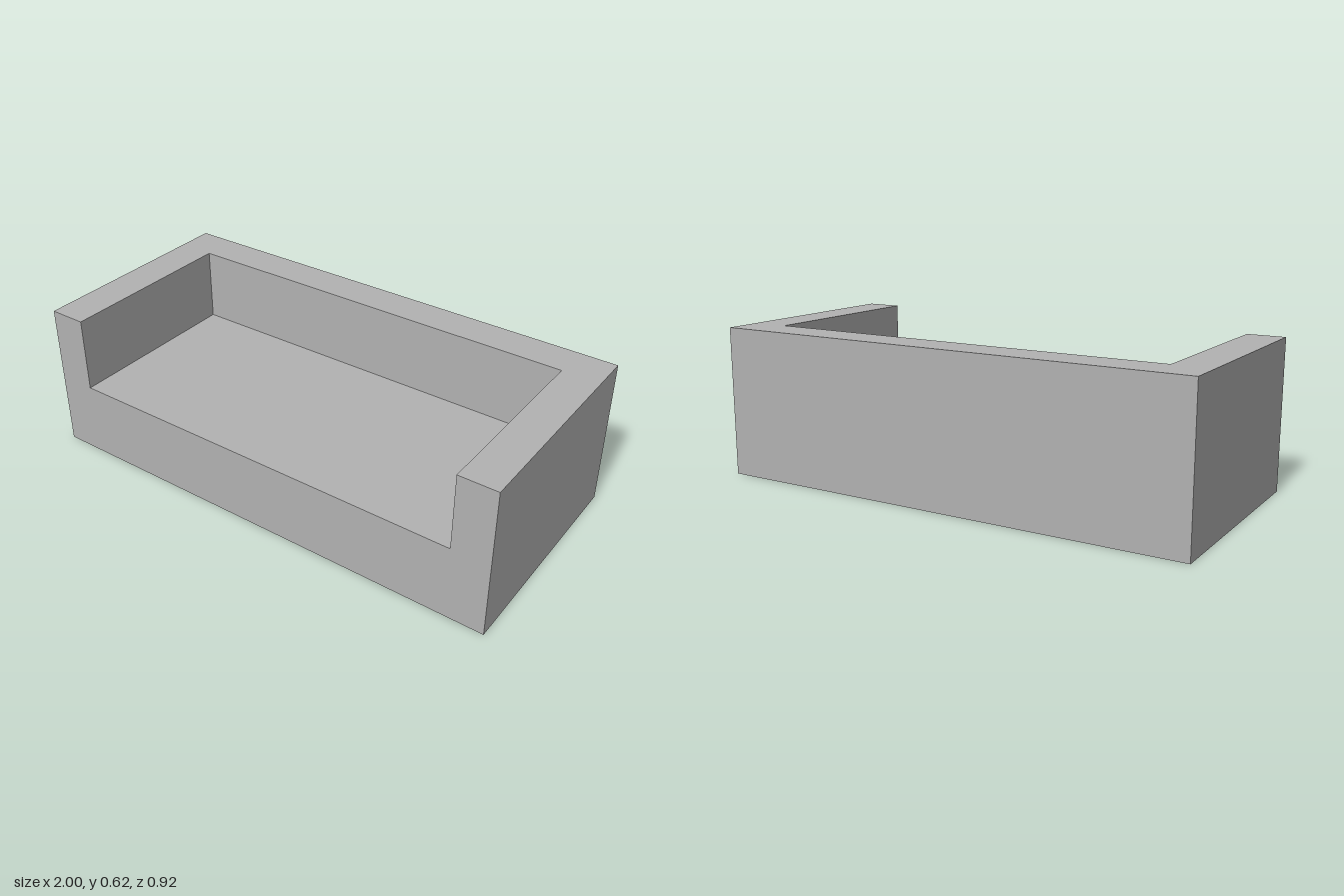
import * as THREE from 'three';

// Sofa on a module of 1/13 of its width: 13 wide, 4 high, 6 deep, walls 1 thick
const U = 2 / 13;
const W = 13 * U, H = 4 * U, D = 6 * U, T = U, SEAT = 2 * U;
const INNER_W = W - 2 * T, INNER_D = D - T, INNER_H = H - SEAT;

// U-shaped face: closed edge, bottom of the notch, open edge
function notched(closed, notch, open) {
  const w = W / 2, i = INNER_W / 2;
  return new THREE.ShapeGeometry(new THREE.Shape([
    [-w, closed], [w, closed], [w, open], [i, open],
    [i, notch], [-i, notch], [-i, open], [-w, open],
  ].map(([x, y]) => new THREE.Vector2(x, y))));
}

export function createModel() {
  const sofa = new THREE.Group();
  sofa.name = 'sofa';
  const grey = new THREE.MeshStandardMaterial({ color: 0xb2b2b2 });
  grey.name = 'grey';

  // One flat panel, turned and placed; together they form a closed body
  function panel(name, geometry, [x, y, z], rx = 0, ry = 0) {
    const mesh = new THREE.Mesh(geometry, grey);
    mesh.name = name;
    mesh.position.set(x, y, z);
    mesh.rotation.set(rx, ry, 0);
    sofa.add(mesh);
  }
  const plane = (w, h) => new THREE.PlaneGeometry(w, h);
  const Q = Math.PI / 2;

  // Front and top rim, both cut out around the seat
  panel('front', notched(0, SEAT, H), [0, 0, D / 2]);
  panel('topRim', notched(D / 2, D / 2 - T, -D / 2), [0, H, 0], -Q);

  // Outer back and underside
  panel('outerBack', plane(W, H), [0, H / 2, -D / 2], 0, Math.PI);
  panel('underside', plane(W, D), [0, 0, 0], Q);

  // Seat and backrest
  panel('seat', plane(INNER_W, INNER_D), [0, SEAT, T / 2], -Q);
  panel('backrest', plane(INNER_W, INNER_H), [0, SEAT + INNER_H / 2, -D / 2 + T]);

  // Arms: outer and inner sides, mirrored
  for (const [side, s] of [['left', 1], ['right', -1]]) {
    panel(side + 'ArmOuter', plane(D, H), [s * W / 2, H / 2, 0], 0, s * Q);
    panel(side + 'ArmInner', plane(INNER_D, INNER_H),
      [s * INNER_W / 2, SEAT + INNER_H / 2, T / 2], 0, -s * Q);
  }
  return sofa;
}
